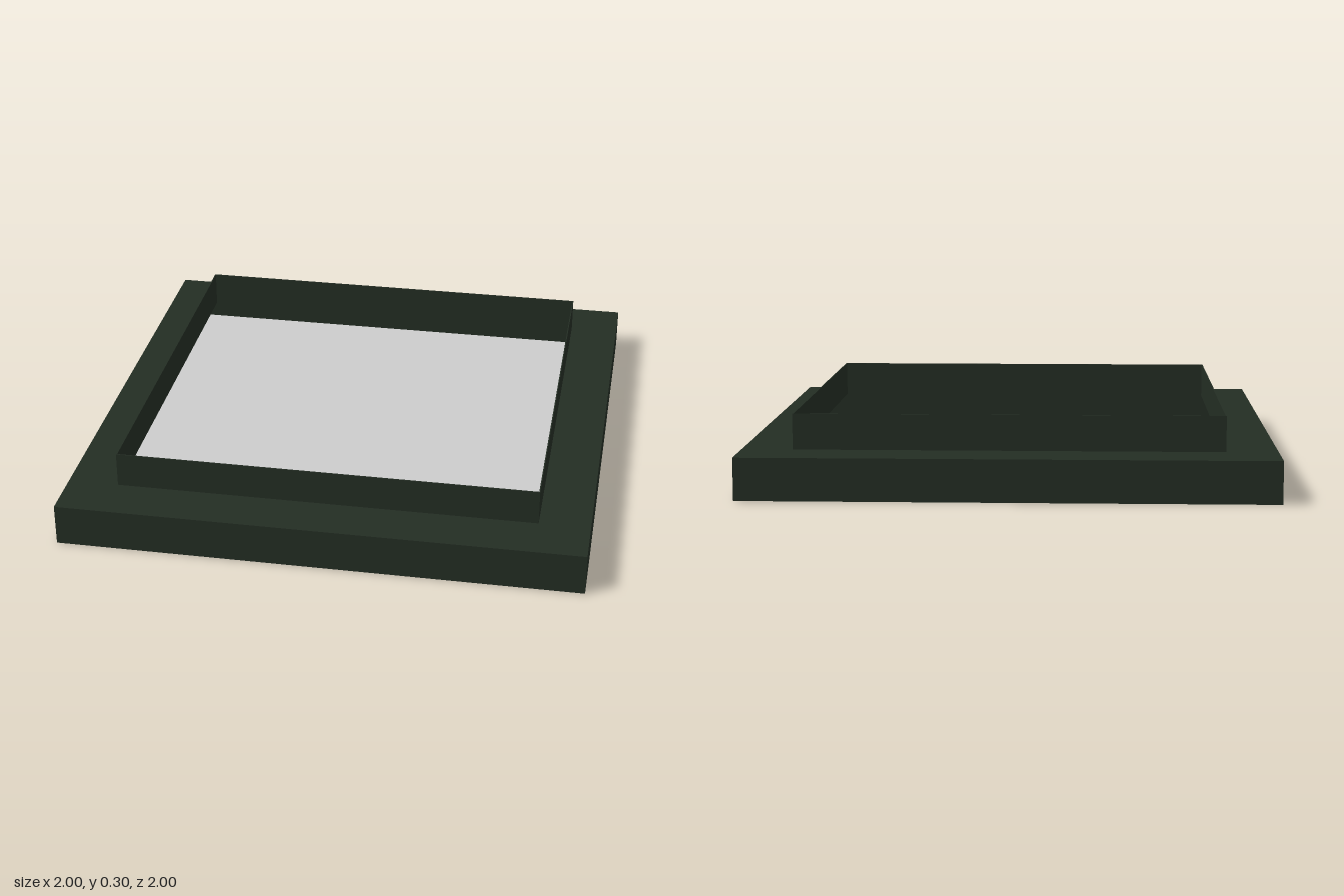
import * as THREE from 'three';

const darkGreen = new THREE.MeshStandardMaterial({ color: 0x232d23 });
const paleGrey = new THREE.MeshStandardMaterial({ color: 0xcccccc });

// Square ring lying flat, from y = bottom to y = top
function squareRing(name, outer, inner, bottom, top) {
  const square = (Type, h) => {
    const s = new Type();
    s.moveTo(-h, -h).lineTo(h, -h).lineTo(h, h).lineTo(-h, h).closePath();
    return s;
  };
  // moveTo and lineTo return the path, so the corners chain
  const shape = square(THREE.Shape, outer);
  shape.holes.push(square(THREE.Path, inner));
  const geometry = new THREE.ExtrudeGeometry(shape, { depth: top - bottom, bevelEnabled: false });
  geometry.rotateX(-Math.PI / 2);
  geometry.translate(0, bottom, 0);
  const mesh = new THREE.Mesh(geometry, darkGreen);
  mesh.name = name;
  return mesh;
}

export function createModel() {
  const model = new THREE.Group();
  model.name = 'framedPanel';

  // Outer skirt, flat ledge on top of it and thin raised lip
  model.add(squareRing('baseFrame', 1, 0.9, 0, 0.155));
  model.add(squareRing('ledge', 1, 0.802, 0.155, 0.16));
  model.add(squareRing('raisedLip', 0.806, 0.802, 0.16, 0.295));

  // Panel recessed inside the skirt
  const panel = new THREE.Mesh(new THREE.BoxGeometry(1.8, 0.005, 1.8), paleGrey);
  panel.name = 'panel';
  panel.position.y = 0.039;
  model.add(panel);

  return model;
}
